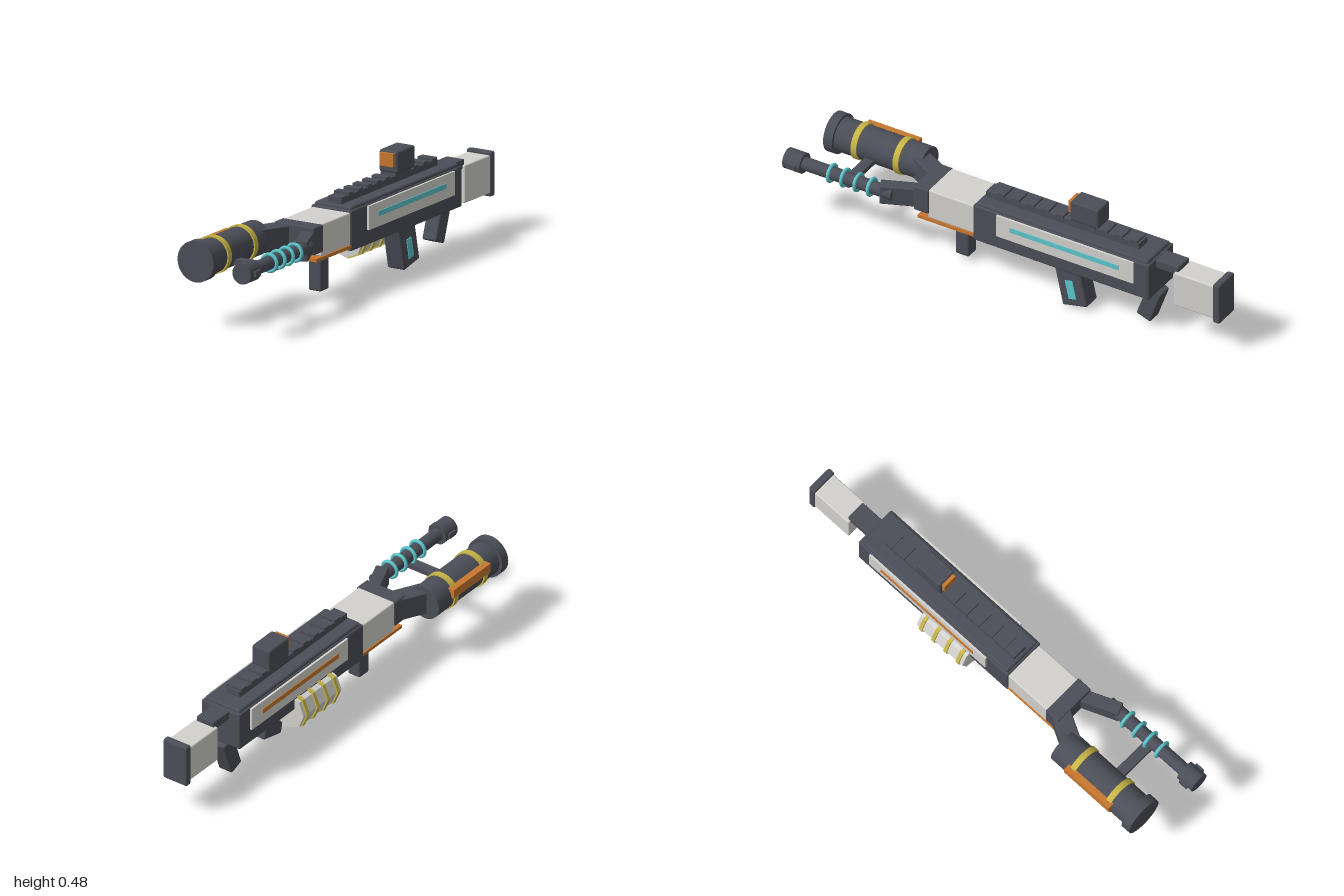
import * as THREE from 'three';
import { RoundedBoxGeometry } from 'three/addons/geometries/RoundedBoxGeometry.js';

const mat = (name, color) => {
  const m = new THREE.MeshStandardMaterial({ color });
  m.name = name;
  return m;
};

export function createModel() {
  const gunmetal = mat('gunmetal', 0x4b4e57);
  const shell = mat('pale shell', 0xd3d2ce);
  const orange = mat('orange', 0xc8782f);
  const yellow = mat('yellow', 0xc6b446);
  const cyan = mat('cyan', 0x5cc6cc);

  const model = new THREE.Group();
  model.name = 'doubleBarrelBlaster';

  const add = (name, geometry, material, x, y, z, parent = model) => {
    const mesh = new THREE.Mesh(geometry, material);
    mesh.name = name;
    mesh.position.set(x, y, z);
    parent.add(mesh);
    return mesh;
  };

  // Box given by its limits on each axis; bevel 0 leaves sharp edges
  const box = (name, material, [x0, x1], [y0, y1], [z0, z1], bevel = 0) => {
    const size = [x1 - x0, y1 - y0, z1 - z0];
    const g = bevel ? new RoundedBoxGeometry(...size, 2, bevel) : new THREE.BoxGeometry(...size);
    return add(name, g, material, (x0 + x1) / 2, (y0 + y1) / 2, (z0 + z1) / 2);
  };

  // Cylinder running along z
  const tube = (name, material, r, x, y, z0, z1, sides = 32) => {
    const g = new THREE.CylinderGeometry(r, r, z1 - z0, sides).rotateX(Math.PI / 2);
    return add(name, g, material, x, y, (z0 + z1) / 2);
  };

  // Receiver with top cover
  box('receiver', gunmetal, [-0.07, 0.124], [0.176, 0.345], [-0.69, 0.14], 0.008);
  box('topCover', gunmetal, [-0.062, 0.116], [0.32, 0.358], [-0.68, 0.13], 0.01);

  // Side panels with a coloured strip on each
  for (const [side, stripMaterial] of [[1, cyan], [-1, orange]]) {
    const panel = add('sidePanel', new THREE.BoxGeometry(0.012, 0.1, 0.645), shell,
      0.027 + side * 0.1, 0.29, -0.298);
    panel.name = side > 0 ? 'leftPanel' : 'rightPanel';
    add('panelStrip', new THREE.BoxGeometry(0.006, 0.021, 0.51), stripMaterial,
      0.027 + side * 0.1065, 0.294, -0.297);
  }

  // Top rail and its teeth
  box('rail', gunmetal, [-0.005, 0.06], [0.35, 0.385], [-0.605, 0.115]);
  for (let i = 0; i < 10; i++) {
    const z = 0.046 - i * 0.0695;
    box('railTooth', gunmetal, [-0.008, 0.063], [0.38, 0.395], [z - 0.017, z + 0.017]);
  }

  // Sight
  box('sightMount', gunmetal, [-0.008, 0.063], [0.38, 0.4], [-0.4, -0.305]);
  box('sightBody', gunmetal, [-0.017, 0.072], [0.394, 0.486], [-0.42, -0.286], 0.009);
  box('sightLens', orange, [-0.005, 0.06], [0.423, 0.478], [-0.3, -0.272]);

  // Handguard
  box('handguard', shell, [-0.065, 0.117], [0.202, 0.336], [0.13, 0.355], 0.006);
  box('handguardFront', gunmetal, [-0.07, 0.123], [0.222, 0.337], [0.35, 0.42], 0.006);
  box('underPlate', orange, [-0.068, 0.122], [0.189, 0.203], [0.13, 0.4]);
  box('foregrip', gunmetal, [-0.005, 0.056], [0.026, 0.195], [0.2, 0.264], 0.008);

  // Angled arms that carry the two barrels, from and to given in x and z
  const arm = (name, [xa, za], [xb, zb], width, height, y) => {
    const length = Math.hypot(xb - xa, zb - za);
    const mesh = add(name, new RoundedBoxGeometry(width, height, length, 2, 0.005), gunmetal,
      (xa + xb) / 2, y, (za + zb) / 2);
    mesh.rotation.y = Math.atan2(xb - xa, zb - za);
  };
  arm('largeBarrelArm', [-0.015, 0.37], [-0.11, 0.55], 0.08, 0.1, 0.28);
  arm('smallBarrelArm', [0.07, 0.37], [0.15, 0.56], 0.055, 0.085, 0.275);

  // Large barrel
  const bigX = -0.113, barrelY = 0.28;
  tube('largeBarrel', gunmetal, 0.073, bigX, barrelY, 0.49, 0.91);
  tube('largeMuzzle', gunmetal, 0.086, bigX, barrelY, 0.895, 0.937);
  for (const z of [0.602, 0.8]) {
    tube('largeBarrelBand', yellow, 0.079, bigX, barrelY, z - 0.013, z + 0.013);
  }
  box('largeBarrelBar', orange, [-0.197, -0.165], [0.287, 0.328], [0.575, 0.822]);

  // Small barrel with coils
  const smallX = 0.145;
  tube('smallBarrel', gunmetal, 0.028, smallX, barrelY, 0.5, 0.94, 24);
  tube('smallMuzzle', gunmetal, 0.044, smallX, barrelY, 0.918, 0.998, 24);
  box('muzzleLug', gunmetal, [0.093, 0.198], [0.269, 0.291], [0.935, 0.975]);
  for (let i = 0; i < 4; i++) {
    add('coil', new THREE.TorusGeometry(0.035, 0.0075, 10, 28), cyan,
      smallX, barrelY, 0.602 + i * 0.0625);
  }
  box('barrelBridge', gunmetal, [-0.09, 0.145], [0.235, 0.256], [0.708, 0.752]);

  // Octagonal canister with bands
  const octagon = (name, material, r, z0, z1) => {
    const g = new THREE.CylinderGeometry(r, r, z1 - z0, 8).toNonIndexed();
    g.computeVertexNormals();
    g.rotateX(Math.PI / 2);
    add(name, g, material, -0.035, 0.16, (z0 + z1) / 2);
  };
  octagon('canister', shell, 0.08, -0.322, -0.068);
  for (let i = 0; i < 4; i++) {
    const z = -0.093 - i * 0.068;
    octagon('canisterBand', yellow, 0.087, z - 0.008, z + 0.008);
  }

  // Tilted magazine with a light plate
  const magazine = new THREE.Group();
  magazine.name = 'magazine';
  magazine.position.set(0.071, 0.106, -0.313);
  magazine.rotation.x = 0.22;
  model.add(magazine);
  add('magazineBody', new RoundedBoxGeometry(0.082, 0.19, 0.118, 2, 0.008), gunmetal, 0, 0, 0, magazine);
  add('magazineLight', new THREE.BoxGeometry(0.008, 0.085, 0.036), cyan, 0.0405, -0.018, 0.002, magazine);

  // Rear grip and trigger plate
  const grip = add('rearGrip', new RoundedBoxGeometry(0.068, 0.16, 0.07, 2, 0.008), gunmetal,
    0.027, 0.108, -0.65);
  grip.rotation.x = -0.34;
  box('triggerPlate', gunmetal, [-0.01, 0.064], [0.164, 0.18], [-0.605, -0.495]);

  // Stock
  box('stockNeck', gunmetal, [-0.017, 0.068], [0.304, 0.342], [-0.795, -0.68], 0.004);
  box('stock', shell, [-0.03, 0.08], [0.162, 0.32], [-0.97, -0.78], 0.006);
  box('buttPlate', gunmetal, [-0.034, 0.085], [0.147, 0.333], [-0.998, -0.966], 0.008);

  return model;
}
